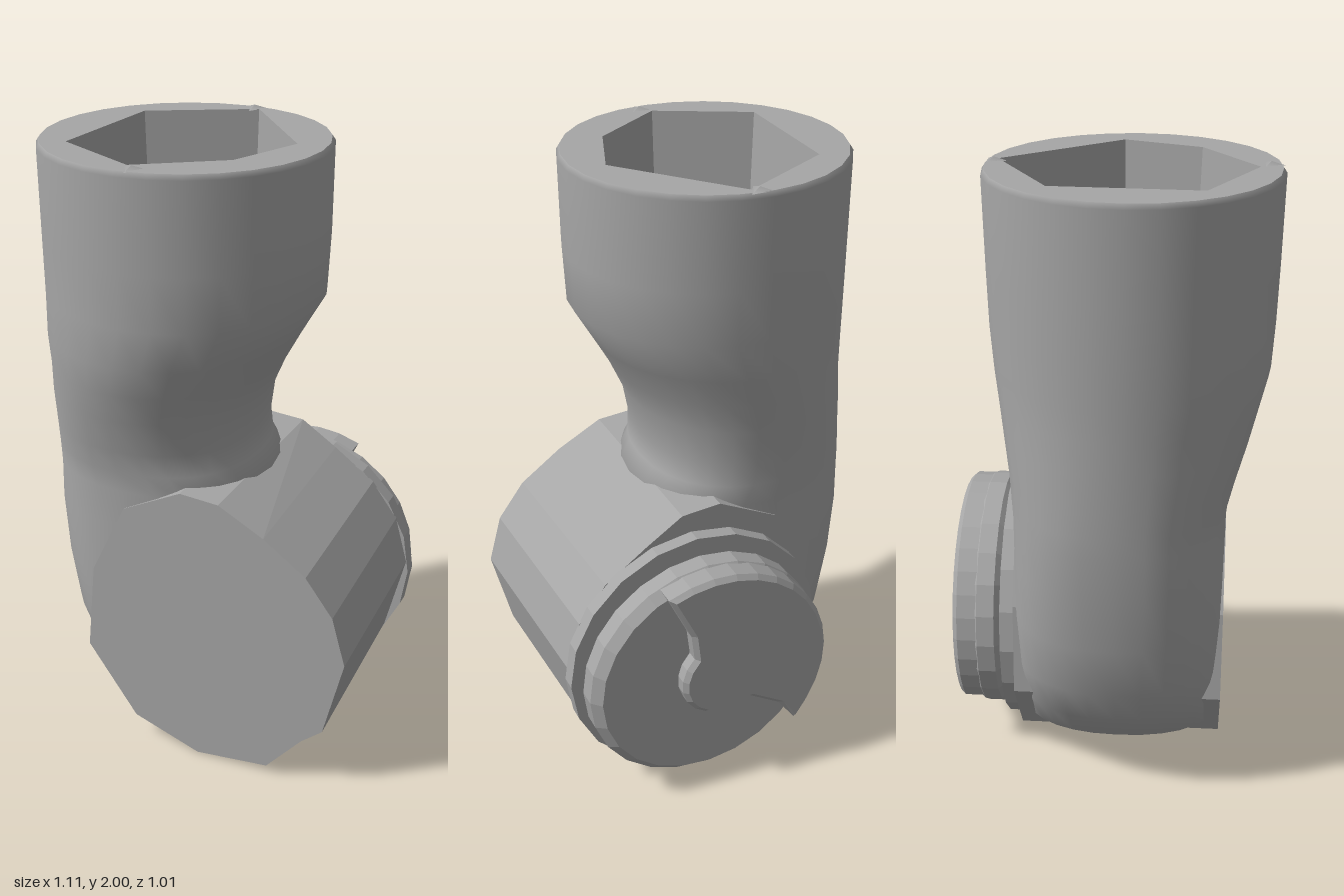
import * as THREE from 'three';

const grey = new THREE.MeshStandardMaterial({ color: 0xa6a6a6, side: THREE.DoubleSide });
grey.name = 'grey';

// Skin through closed rings of points, listed bottom to top
function loft(rings) {
  const n = rings[0].length, pos = rings.flat(2), idx = [];
  for (let i = 0; i < rings.length - 1; i++) {
    for (let j = 0; j < n; j++) {
      const k = (j + 1) % n, a = i * n + j, b = i * n + k;
      idx.push(a, b, a + n, b, b + n, a + n);
    }
  }
  const g = new THREE.BufferGeometry();
  g.setAttribute('position', new THREE.Float32BufferAttribute(pos, 3));
  g.setIndex(idx);
  g.computeVertexNormals();
  return g;
}

// Rounded horizontal section: limits in x and z, with a squareness exponent
function section([y, x0, x1, z0, z1, power], n = 28) {
  const ring = [];
  for (let j = 0; j < n; j++) {
    const t = (j / n) * Math.PI * 2, c = Math.cos(t), s = Math.sin(t);
    const round = (v) => Math.sign(v) * Math.abs(v) ** (2 / power);
    ring.push([
      (x0 + x1) / 2 + ((x1 - x0) / 2) * round(c), y,
      (z0 + z1) / 2 - ((z1 - z0) / 2) * round(s),
    ]);
  }
  return ring;
}

const shapeOf = (pts) => new THREE.Shape(pts.map(([x, y]) => new THREE.Vector2(x, y)));

// Plate cut from an outline in the xy plane, between two depths
function plate(pts, zBack, zFront, bevel = 0) {
  const g = new THREE.ExtrudeGeometry(shapeOf(pts), {
    depth: zFront - zBack - bevel * 2, bevelEnabled: bevel > 0,
    bevelThickness: bevel, bevelSize: bevel, bevelOffset: -bevel, bevelSegments: 1,
  });
  return g.translate(0, 0, zBack + bevel);
}

function arc(cx, cy, r, from, to, n) {
  return Array.from({ length: n + 1 }, (_, i) => {
    const t = THREE.MathUtils.degToRad(from + ((to - from) * i) / n);
    return [cx + r * Math.cos(t), cy + r * Math.sin(t)];
  });
}

export function createModel() {
  const group = new THREE.Group();
  const add = (name, geometry) => {
    const m = new THREE.Mesh(geometry, grey);
    m.name = name;
    group.add(m);
    return m;
  };

  // Upright sleeve that narrows, then curls under the joint: y, x0, x1, z0, z1, power
  const sections = [
    [0.005, -0.02, 0.06, -0.2, 0.26, 2],
    [0.03, -0.13, 0.08, -0.25, 0.31, 2.1],
    [0.08, -0.23, 0.08, -0.27, 0.33, 2.1],
    [0.15, -0.33, 0.06, -0.28, 0.35, 2.2],
    [0.28, -0.43, 0.04, -0.29, 0.36, 2.2],
    [0.42, -0.5, 0.03, -0.295, 0.365, 2.2],
    [0.6, -0.53, 0.04, -0.295, 0.365, 2.3],
    [0.8, -0.547, 0.1, -0.295, 0.365, 2.4],
    [0.93, -0.55, 0.17, -0.298, 0.367, 2.4],
    [1.0, -0.55, 0.125, -0.3, 0.375, 2.3],
    [1.08, -0.55, 0.12, -0.305, 0.395, 2.2],
    [1.2, -0.55, 0.14, -0.32, 0.43, 2.1],
    [1.3, -0.55, 0.185, -0.335, 0.458, 2],
    [1.4, -0.552, 0.24, -0.35, 0.485, 2],
    [1.53, -0.555, 0.315, -0.365, 0.495, 2],
    [1.7, -0.555, 0.323, -0.37, 0.5, 2],
    [1.975, -0.555, 0.325, -0.375, 0.505, 2],
    [1.99, -0.545, 0.315, -0.365, 0.495, 2],
  ];
  const rings = sections.map((s) => section(s));
  add('sleeve', loft(rings));

  // Six-sided socket in the top of the sleeve, as x and z corners
  const socket = [[0.22, 0.02], [-0.06, -0.335], [-0.375, -0.16], [-0.395, 0.28], [-0.11, 0.43], [0.13, 0.26]];
  const floor = socket.map(([x, z]) => [-0.11 + (x + 0.11) * 0.93, 0.05 + (z - 0.05) * 0.93]);
  const flat = (pts) => pts.map(([x, z]) => [x, -z]);
  const rim = shapeOf(rings.at(-1).map(([x, , z]) => [x, -z]));
  rim.holes.push(shapeOf(flat(socket)));
  add('sleeveRim', new THREE.ShapeGeometry(rim).rotateX(-Math.PI / 2).translate(0, 1.99, 0));
  add('socketFloor', new THREE.ShapeGeometry(shapeOf(flat(floor))).rotateX(-Math.PI / 2).translate(0, 1.5, 0));
  const wall = loft([
    socket.map(([x, z]) => [x, 1.99, z]),
    floor.map(([x, z]) => [x, 1.5, z]),
  ]).toNonIndexed();
  wall.computeVertexNormals();
  add('socketWall', wall);

  // Small chip standing on the front and back of the rim
  for (const [x, z] of [[-0.08, 0.46], [-0.08, -0.345]]) {
    add('rimChip', new THREE.ConeGeometry(0.04, 0.012, 3).translate(x, 1.994, z));
  }

  // Faceted joint drum running front to back, tapering a little to the back
  const outline = [
    [0.05, 0], [0.3, 0.03], [0.42, 0.17], [0.49, 0.23], [0.555, 0.5], [0.51, 0.66], [0.42, 0.78],
    [0.28, 0.88], [0.13, 0.96], [0, 0.97], [-0.2, 0.87], [-0.32, 0.62], [-0.35, 0.32], [-0.18, 0.08],
  ];
  const drum = plate(outline, -0.3, 0.368);
  const p = drum.attributes.position;
  for (let i = 0; i < p.count; i++) {
    if (p.getZ(i) < 0 && p.getX(i) > 0.2) p.setX(i, p.getX(i) - 0.028);
  }
  drum.computeVertexNormals();
  add('jointDrum', drum);

  // Flange and stepped end cap on the back
  add('flange', plate(arc(0.1, 0.46, 0.435, 0, 342, 19), -0.345, -0.295));
  add('endCap', plate(arc(0.105, 0.45, 0.4, 0, 345, 23), -0.457, -0.34, 0.03));

  // Raised half of the cap, with a round hub bulging over the step
  const raised = [
    ...arc(0.105, 0.45, 0.395, 66, 222, 14),
    [-0.13, 0.27], [-0.02, 0.34],
    ...arc(0.08, 0.46, 0.14, -65, 45, 6),
    [0.19, 0.65],
  ];
  add('capStep', plate(raised, -0.507, -0.36, 0.015));

  return group;
}
